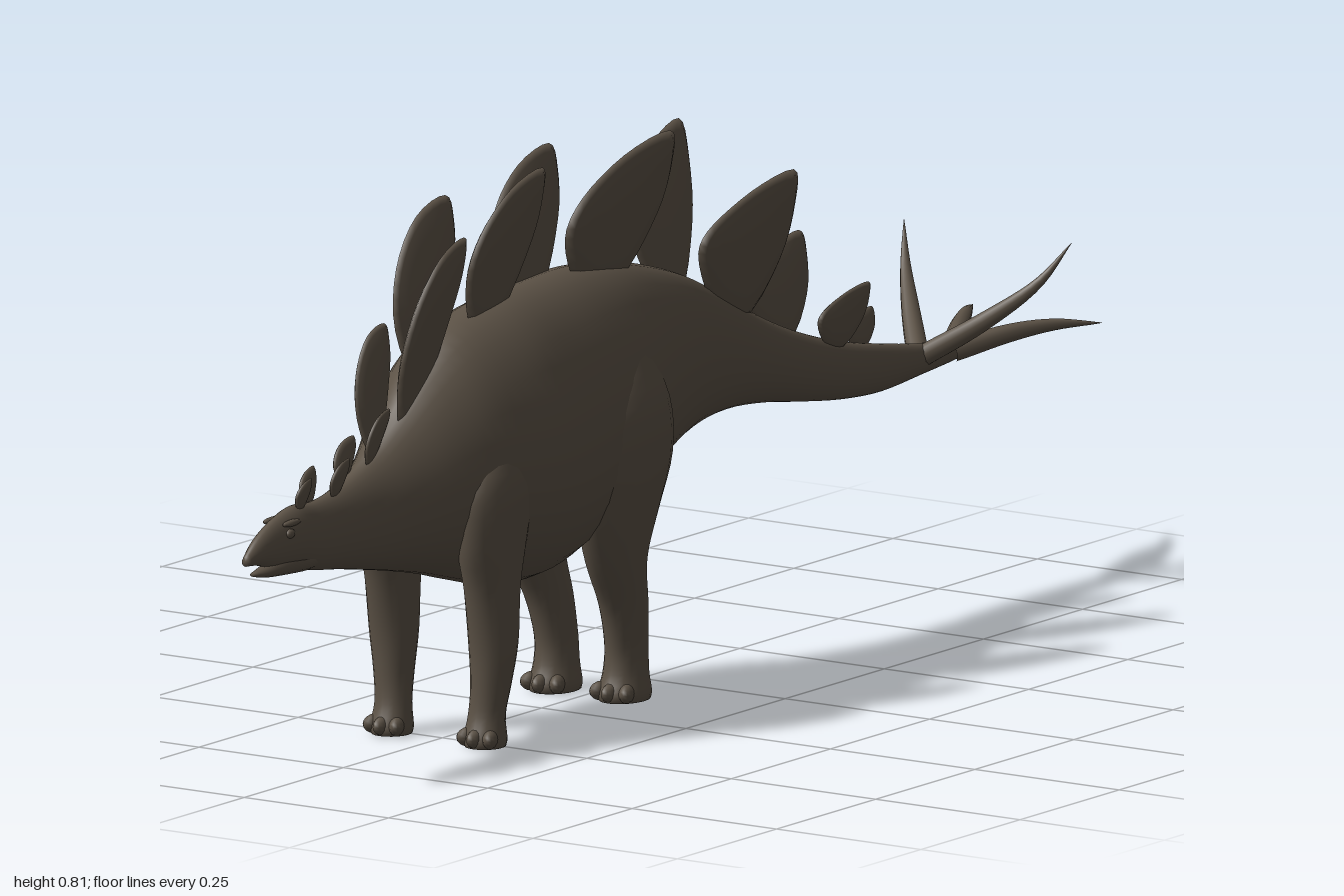
import * as THREE from 'three';

const V = (x, y, z) => new THREE.Vector3(x, y, z);

// Catmull-Rom interpolation between rows of numbers
function smoothRows(rows, steps) {
  const out = [], at = i => rows[Math.min(Math.max(i, 0), rows.length - 1)];
  for (let i = 0; i < rows.length - 1; i++) {
    for (let s = 0; s < steps; s++) {
      const t = s / steps;
      out.push(rows[i].map((_, k) => {
        const [a, b, c, d] = [at(i - 1)[k], at(i)[k], at(i + 1)[k], at(i + 2)[k]];
        return b + 0.5 * t * (c - a + t * (2 * a - 5 * b + 4 * c - d + t * (3 * (b - c) + d - a)));
      }));
    }
  }
  out.push(rows[rows.length - 1]);
  return out;
}

// Skin over closed rings, with capped ends
function loft(rings) {
  const n = rings[0].length, pos = [], index = [];
  rings.forEach(r => r.forEach(p => pos.push(p.x, p.y, p.z)));
  for (let i = 0; i < rings.length - 1; i++) {
    for (let j = 0; j < n; j++) {
      const a = i * n + j, b = i * n + (j + 1) % n;
      index.push(a, a + n, b, b, a + n, b + n);
    }
  }
  [0, rings.length - 1].forEach((r, end) => {
    const c = rings[r].reduce((s, p) => s.add(p), V(0, 0, 0)).divideScalar(n);
    const ci = pos.length / 3;
    pos.push(c.x, c.y, c.z);
    for (let j = 0; j < n; j++) {
      const a = r * n + j, b = r * n + (j + 1) % n;
      if (end) index.push(ci, b, a); else index.push(ci, a, b);
    }
  });
  const g = new THREE.BufferGeometry();
  g.setAttribute('position', new THREE.Float32BufferAttribute(pos, 3));
  g.setIndex(index);
  g.computeVertexNormals();
  return g;
}

const ring = (n, f) => Array.from({ length: n }, (_, j) => {
  const a = j / n * Math.PI * 2;
  return f(Math.cos(a), Math.sin(a));
});

// Body from snout to tail: z, underside, top, half width
const BODY = smoothRows([
  [0.997, 0.336, 0.35, 0.006], [0.97, 0.333, 0.372, 0.013], [0.93, 0.322, 0.392, 0.019],
  [0.88, 0.314, 0.405, 0.026], [0.83, 0.302, 0.402, 0.025], [0.77, 0.293, 0.412, 0.031],
  [0.7, 0.28, 0.44, 0.045], [0.64, 0.268, 0.485, 0.066], [0.57, 0.252, 0.55, 0.095],
  [0.5, 0.232, 0.597, 0.118], [0.4, 0.207, 0.62, 0.134], [0.3, 0.204, 0.63, 0.127],
  [0.2, 0.23, 0.634, 0.12], [0.1, 0.268, 0.626, 0.105], [0, 0.312, 0.604, 0.078],
  [-0.1, 0.345, 0.572, 0.056], [-0.2, 0.357, 0.525, 0.044], [-0.3, 0.35, 0.475, 0.036],
  [-0.4, 0.334, 0.435, 0.03], [-0.5, 0.32, 0.405, 0.025], [-0.6, 0.314, 0.384, 0.02],
  [-0.7, 0.321, 0.367, 0.016], [-0.79, 0.328, 0.358, 0.011], [-0.835, 0.335, 0.35, 0.005],
], 4);
const bodyRings = (rows, n) => rows.map(([z, lo, hi, w]) =>
  ring(n, (c, s) => V(w * c * (1 - 0.12 * s), (lo + hi) / 2 + (hi - lo) / 2 * s, z)));

function backHeight(z) {
  const i = Math.max(1, BODY.findIndex(r => r[0] <= z));
  const a = BODY[i - 1], b = BODY[i];
  return a[2] + (b[2] - a[2]) * (a[0] - z) / (a[0] - b[0]);
}

// Leaf outline, front to back and base to tip
const LEAF = new THREE.CatmullRomCurve3([
  [0.6, -0.12], [0.92, 0.4], [1, 0.78], [0.93, 1], [0.5, 0.9], [0.14, 0.62], [0.02, 0.28], [0.22, -0.12],
].map(([u, v]) => V(u, v, 0)), true, 'catmullrom', 0.5).getPoints(32).slice(0, 32);

// Lens-shaped plate leaning outward and back
function plate(zFront, zBack, tip, side) {
  const y0 = backHeight(zFront), y1 = backHeight(zBack);
  const thick = 0.003 + 0.04 * (zFront - zBack);
  const layers = [[0.3, 1], [0.65, 0.85], [0.9, 0.55], [1, 0], [0.9, -0.55], [0.65, -0.85], [0.3, -1]];
  return loft(layers.map(([k, off]) => LEAF.map(p => {
    const u = 0.5 + (p.x - 0.5) * k, v = 0.4 + (p.y - 0.4) * k;
    const base = y0 + (y1 - y0) * u, h = v * (tip - base);
    return V(side * (0.006 + 0.06 * Math.min(zFront - zBack, 0.15) + 0.165 * h) + off * thick, base + h, zFront + (zBack - zFront) * u);
  })));
}

// Tapered, slightly curved spike
function spike(points) {
  const curve = new THREE.CatmullRomCurve3(points), n = 16, m = 10;
  const g = new THREE.TubeGeometry(curve, n, 0.016, m);
  const p = g.attributes.position, v = V(0, 0, 0);
  for (let i = 0; i < p.count; i++) {
    const t = Math.floor(i / (m + 1)) / n;
    v.fromBufferAttribute(p, i).lerp(curve.getPointAt(t), 0.98 * t * t);
    p.setXYZ(i, v.x, v.y, v.z);
  }
  return g;
}

// Legs top to bottom: y, x, z, half width, half depth
const FRONT_LEG = [
  [0.45, 0.082, 0.48, 0.025, 0.04], [0.38, 0.085, 0.49, 0.042, 0.075], [0.3, 0.086, 0.5, 0.04, 0.068],
  [0.23, 0.086, 0.5, 0.036, 0.05], [0.15, 0.086, 0.497, 0.035, 0.038], [0.09, 0.084, 0.5, 0.029, 0.031],
  [0.045, 0.081, 0.506, 0.027, 0.027], [0.012, 0.081, 0.51, 0.031, 0.033], [0, 0.081, 0.51, 0.029, 0.031],
];
const HIND_LEG = [
  [0.52, 0.07, 0.15, 0.025, 0.05], [0.44, 0.078, 0.16, 0.05, 0.095], [0.36, 0.079, 0.165, 0.054, 0.105],
  [0.28, 0.077, 0.17, 0.046, 0.08], [0.21, 0.071, 0.165, 0.039, 0.055], [0.14, 0.065, 0.138, 0.033, 0.041],
  [0.08, 0.061, 0.125, 0.029, 0.037], [0.04, 0.06, 0.125, 0.031, 0.038], [0.012, 0.06, 0.128, 0.036, 0.045],
  [0, 0.06, 0.128, 0.034, 0.043],
];

export function createModel() {
  const model = new THREE.Group();
  const hide = new THREE.MeshStandardMaterial({ color: 0x5c5246 });
  hide.name = 'brown hide';
  const add = (name, geometry, parent = model) => {
    const mesh = new THREE.Mesh(geometry, hide);
    mesh.name = name;
    parent.add(mesh);
    return mesh;
  };

  add('body', loft(bodyRings(BODY, 32)));

  // Lower jaw, with a gap below the beak
  add('lowerJaw', loft(bodyRings(smoothRows([
    [0.978, 0.318, 0.324, 0.005], [0.95, 0.312, 0.33, 0.012], [0.9, 0.308, 0.345, 0.019],
    [0.85, 0.306, 0.345, 0.021], [0.81, 0.31, 0.34, 0.012],
  ], 3), 16)));

  // Back plates in two alternating rows: front, back, tip height, side
  [
    [0.885, 0.85, 0.442, 1], [0.845, 0.8, 0.448, -1], [0.8, 0.755, 0.455, 1], [0.757, 0.7, 0.475, -1],
    [0.715, 0.655, 0.51, 1], [0.69, 0.6, 0.62, -1], [0.655, 0.49, 0.735, 1], [0.585, 0.42, 0.775, -1],
    [0.48, 0.3, 0.805, 1], [0.345, 0.155, 0.805, -1], [0.23, -0.02, 0.805, 1], [0, -0.19, 0.78, -1],
    [-0.11, -0.325, 0.695, 1], [-0.28, -0.47, 0.57, -1], [-0.42, -0.54, 0.49, 1], [-0.53, -0.615, 0.435, -1],
  ].forEach((p, i) => add('backPlate' + (i + 1), plate(...p)));

  for (const [side, label] of [[1, 'left'], [-1, 'right']]) {
    // Legs with three toes each
    for (const [kind, rows, spread] of [['FrontLeg', FRONT_LEG, 0.019], ['HindLeg', HIND_LEG, 0.022]]) {
      const leg = new THREE.Group();
      leg.name = label + kind;
      model.add(leg);
      add('limb', loft(smoothRows(rows, 4).map(([y, x, z, w, d]) =>
        ring(20, (c, s) => V(side * x + w * c, y, z - d * s)))), leg);
      const [, x, z, , d] = rows[rows.length - 1];
      for (let k = -1; k <= 1; k++) {
        const toe = add('toe', new THREE.SphereGeometry(1, 12, 8), leg);
        toe.scale.set(0.011, 0.014, 0.02);
        toe.position.set(side * x + k * spread, 0.014, z + d - 0.008 - 0.008 * Math.abs(k));
        toe.rotation.y = k * 0.35;
      }
    }

    // Tail spikes
    add(label + 'UpperTailSpike', spike([V(0, 0.345, -0.7), V(side * 0.065, 0.395, -0.775), V(side * 0.115, 0.445, -0.835), V(side * 0.145, 0.5, -0.875)]));
    add(label + 'RearTailSpike', spike([V(0, 0.34, -0.785), V(side * 0.04, 0.357, -0.86), V(side * 0.075, 0.363, -0.93), V(side * 0.112, 0.358, -1)]));

    // Eye and brow ridge
    const eye = add(label + 'Eye', new THREE.SphereGeometry(1, 12, 8));
    eye.scale.set(0.005, 0.007, 0.009);
    eye.position.set(side * 0.02, 0.372, 0.912);
    const brow = add(label + 'Brow', new THREE.SphereGeometry(1, 12, 8));
    brow.scale.set(0.006, 0.005, 0.022);
    brow.position.set(side * 0.017, 0.386, 0.905);
  }
  return model;
}
